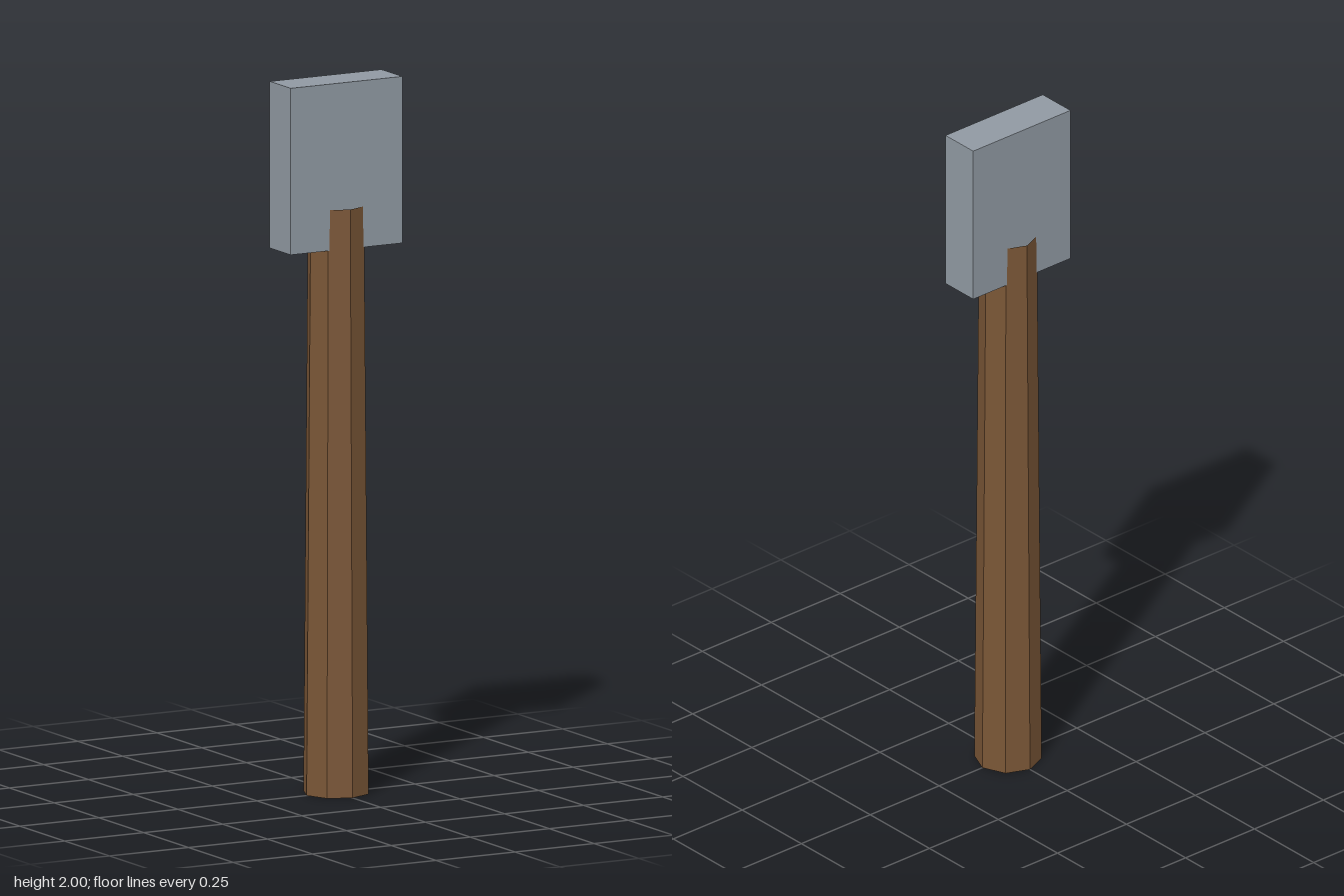
import * as THREE from 'three';

export function createModel() {
  const model = new THREE.Group();
  model.name = 'hammer';

  const wood = new THREE.MeshStandardMaterial({ color: 0x7a5636, flatShading: true, side: THREE.DoubleSide });
  wood.name = 'brown wood';
  const metal = new THREE.MeshStandardMaterial({ color: 0x9099a2, flatShading: true });
  metal.name = 'grey metal';

  // Tapered octagonal handle, a hollow tube open at both ends
  const handleHeight = 1.647;
  const handle = new THREE.Mesh(
    new THREE.CylinderGeometry(0.08, 0.093, handleHeight, 8, 1, true), wood);
  handle.name = 'handle';
  handle.position.y = handleHeight / 2;
  model.add(handle);

  // Flat block head, with the handle's front and back ridges standing proud of it
  const headHeight = 0.467;
  const head = new THREE.Mesh(new THREE.BoxGeometry(0.353, headHeight, 0.117), metal);
  head.name = 'head';
  head.position.y = 2 - headHeight / 2;
  model.add(head);

  return model;
}
